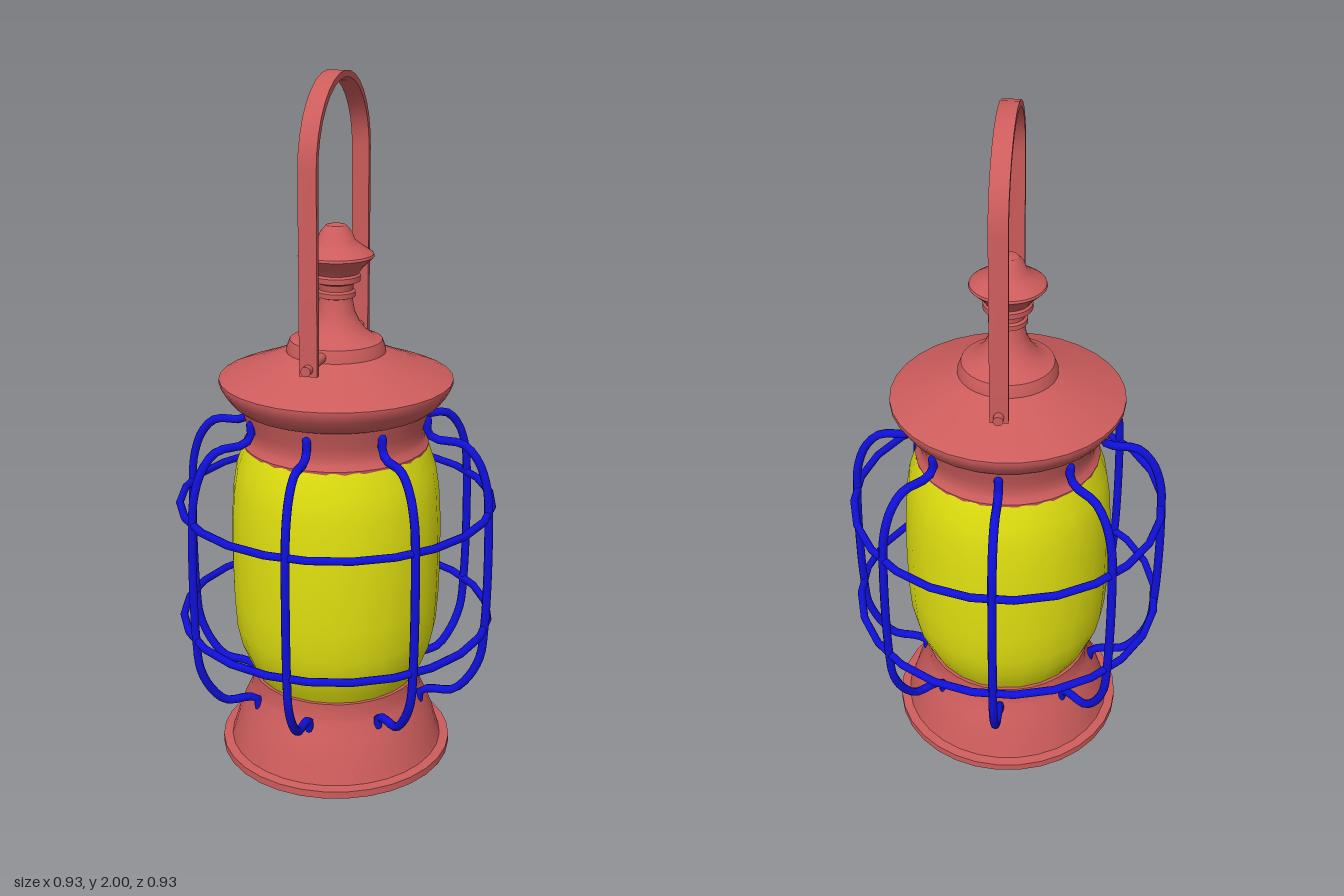
import * as THREE from 'three';
import { toCreasedNormals } from 'three/addons/utils/BufferGeometryUtils.js';

const red = new THREE.MeshStandardMaterial({ color: 0xcd5c5c });
const blue = new THREE.MeshStandardMaterial({ color: 0x1010dc });
const yellow = new THREE.MeshStandardMaterial({ color: 0xe0e010 });

const vectors = (pairs) => pairs.map(([a, b]) => new THREE.Vector2(a, b));

export function createModel() {
  const model = new THREE.Group();

  const add = (name, geometry, material, parent = model) => {
    const mesh = new THREE.Mesh(geometry, material);
    mesh.name = name;
    parent.add(mesh);
    return mesh;
  };
  // Turned part from [radius, height] pairs, bottom to top
  const turned = (name, profile, material, sides = 32) =>
    add(name, toCreasedNormals(new THREE.LatheGeometry(vectors(profile), sides), 0.6), material);

  // Flared foot with a recessed underside
  turned('base', [
    [0, 0.03], [0.285, 0.03], [0.295, 0], [0.345, 0], [0.345, 0.022], [0.318, 0.025],
    [0.31, 0.05], [0.295, 0.1], [0.275, 0.15], [0.257, 0.19], [0.251, 0.21], [0.25, 0.25], [0, 0.25],
  ], red);

  // Barrel-shaped glass
  turned('glass', [
    [0.238, 0.245], [0.262, 0.29], [0.284, 0.345], [0.298, 0.41], [0.304, 0.5], [0.306, 0.62],
    [0.304, 0.74], [0.298, 0.83], [0.287, 0.9], [0.265, 0.965],
  ], yellow, 24);

  // Collar around the top of the glass
  turned('collar', [
    [0, 0.955], [0.264, 0.955], [0.266, 0.97], [0.255, 0.985], [0.252, 1.0],
    [0.255, 1.03], [0.266, 1.06], [0.275, 1.1],
  ], red);

  // Wide roof with rounded rim
  turned('roof', [
    [0.255, 1.075], [0.282, 1.085], [0.3, 1.1], [0.318, 1.125], [0.331, 1.148], [0.331, 1.16],
    [0.3, 1.173], [0.25, 1.191], [0.2, 1.211], [0.16, 1.228], [0.13, 1.24],
  ], red);

  // Stepped cap, chimney neck and finial
  turned('finial', [
    [0.141, 1.23], [0.14, 1.245], [0.13, 1.27], [0.108, 1.278], [0.085, 1.295], [0.066, 1.32],
    [0.052, 1.35], [0.045, 1.39], [0.054, 1.393], [0.054, 1.407], [0.047, 1.412], [0.05, 1.43],
    [0.068, 1.437], [0.068, 1.452], [0.063, 1.458], [0.075, 1.475], [0.106, 1.505], [0.104, 1.512],
    [0.075, 1.532], [0.052, 1.55], [0.044, 1.572], [0.028, 1.59], [0, 1.597],
  ], red);

  // Cage: eight bent bars and two hoops
  const cage = new THREE.Group();
  cage.name = 'cage';
  model.add(cage);
  const barPath = new THREE.CatmullRomCurve3(vectors([
    [0.268, 1.055], [0.268, 1.02], [0.292, 1.002], [0.37, 0.995], [0.415, 0.95], [0.443, 0.87],
    [0.45, 0.79], [0.454, 0.61], [0.45, 0.435], [0.44, 0.34], [0.405, 0.265], [0.36, 0.22],
    [0.292, 0.212], [0.264, 0.2], [0.26, 0.172],
  ]).map((p) => new THREE.Vector3(p.x, p.y, 0)));
  const barGeometry = new THREE.TubeGeometry(barPath, 44, 0.0125, 8);
  for (let i = 0; i < 8; i++) {
    const bar = new THREE.Group();
    bar.name = 'cageBar';
    bar.rotation.y = (i * Math.PI) / 4;
    cage.add(bar);
    add('barRod', barGeometry, blue, bar);
    // Rounded ends
    for (const t of [0, 1]) {
      add('barEnd', new THREE.SphereGeometry(0.0125, 8, 6), blue, bar).position.copy(barPath.getPoint(t));
    }
  }
  for (const y of [0.435, 0.792]) {
    const hoop = add('cageHoop', new THREE.TorusGeometry(0.452, 0.0115, 8, 24), blue, cage);
    hoop.rotation.set(Math.PI / 2, 0, Math.PI / 24);
    hoop.position.y = y;
  }

  // Flat strap handle: straight legs and an arched top
  const strapOutline = (inset) => {
    const points = [[0.25 - inset, 1.23]];
    for (let i = 0; i <= 16; i++) {
      const a = (i / 16) * Math.PI;
      points.push([(0.25 - inset) * Math.cos(a), 1.77 + (0.23 - inset) * Math.sin(a)]);
    }
    points.push([inset - 0.25, 1.23]);
    return points;
  };
  const strapShape = new THREE.Shape(vectors([...strapOutline(0), ...strapOutline(0.018).reverse()]));
  const strap = new THREE.ExtrudeGeometry(strapShape, { depth: 0.05, bevelEnabled: false });
  strap.translate(0, 0, -0.025).rotateY(Math.PI / 2);
  add('handle', toCreasedNormals(strap, 0.6), red);

  // Pivot pins holding the handle
  for (const side of [-1, 1]) {
    const pin = add('handlePin', new THREE.CylinderGeometry(0.014, 0.014, 0.165, 12), red);
    pin.rotation.x = Math.PI / 2;
    pin.position.set(0, 1.25, side * 0.19);
  }

  return model;
}
